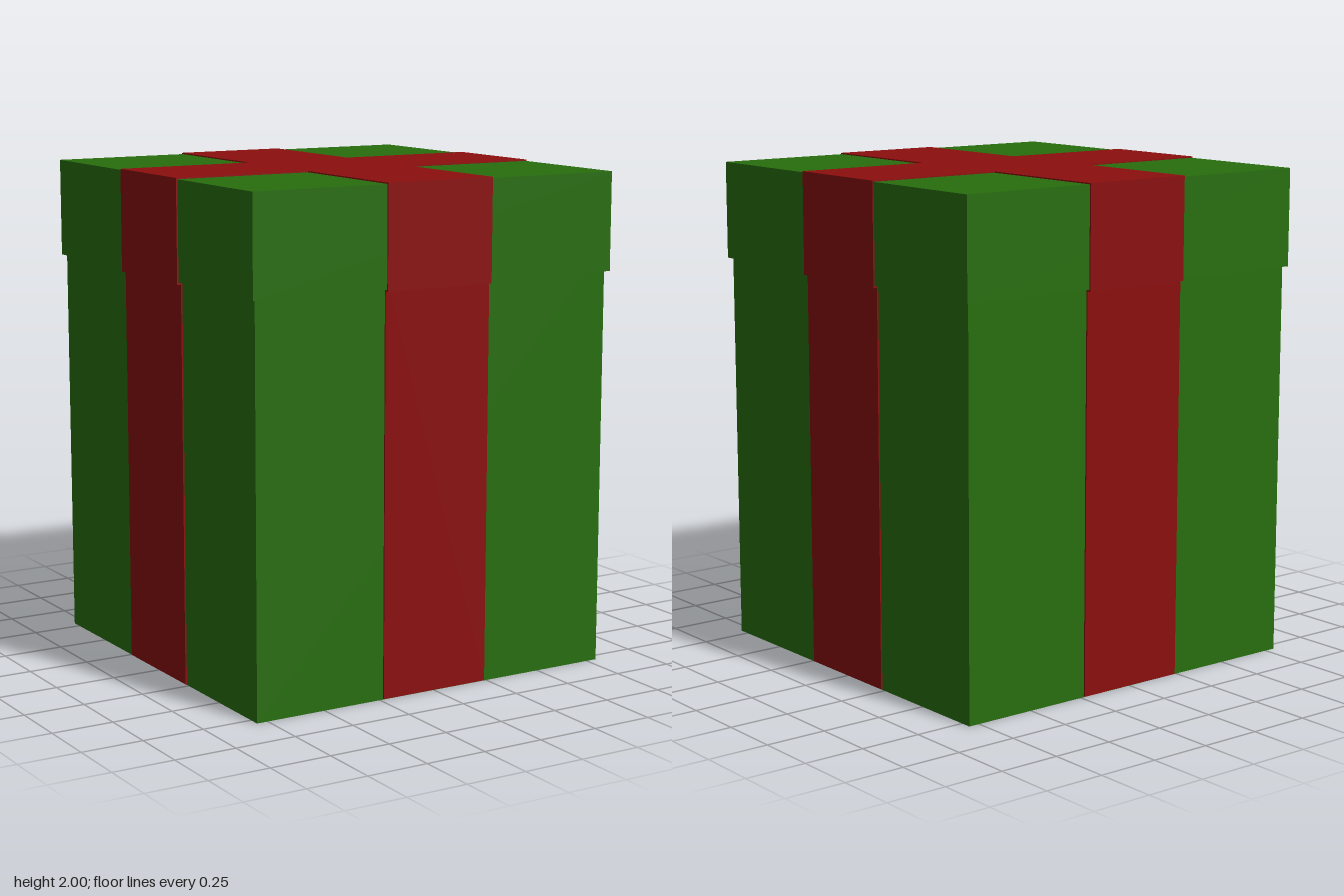
import * as THREE from 'three';

const GREEN = 0x286e0e;
const RED = 0x8b0e0e;
const RIBBON = 0.236; // half width of the ribbon

function addPart(group, name, geometry, color, y) {
  const mesh = new THREE.Mesh(geometry, new THREE.MeshStandardMaterial({ color }));
  mesh.name = name;
  mesh.position.y = y;
  group.add(mesh);
}

// Square box standing on its base
function block(half, height) {
  return new THREE.BoxGeometry(2 * half, height, 2 * half).translate(0, height / 2, 0);
}

// Cross-shaped column whose arm ends form the four ribbon bands
function ribbonCross(half, height) {
  const points = [];
  for (let i = 0; i < 4; i++) {
    const corners = [[half, -RIBBON], [half, RIBBON], [RIBBON, RIBBON]];
    for (const [x, y] of corners) {
      points.push(new THREE.Vector2(x, y).rotateAround(new THREE.Vector2(), i * Math.PI / 2));
    }
  }
  return new THREE.ExtrudeGeometry(new THREE.Shape(points), { depth: height, bevelEnabled: false })
    .rotateX(-Math.PI / 2);
}

export function createModel() {
  const gift = new THREE.Group();
  gift.name = 'giftBox';

  // Box with its vertical ribbon bands
  addPart(gift, 'boxBody', block(0.796, 1.7), GREEN, 0);
  addPart(gift, 'bodyRibbon', ribbonCross(0.802, 1.65), RED, 0.003);

  // Slightly wider lid with the ribbon crossing over the top
  addPart(gift, 'lid', block(0.812, 0.395), GREEN, 1.6);
  addPart(gift, 'lidRibbon', ribbonCross(0.818, 0.408), RED, 1.592);

  return gift;
}
